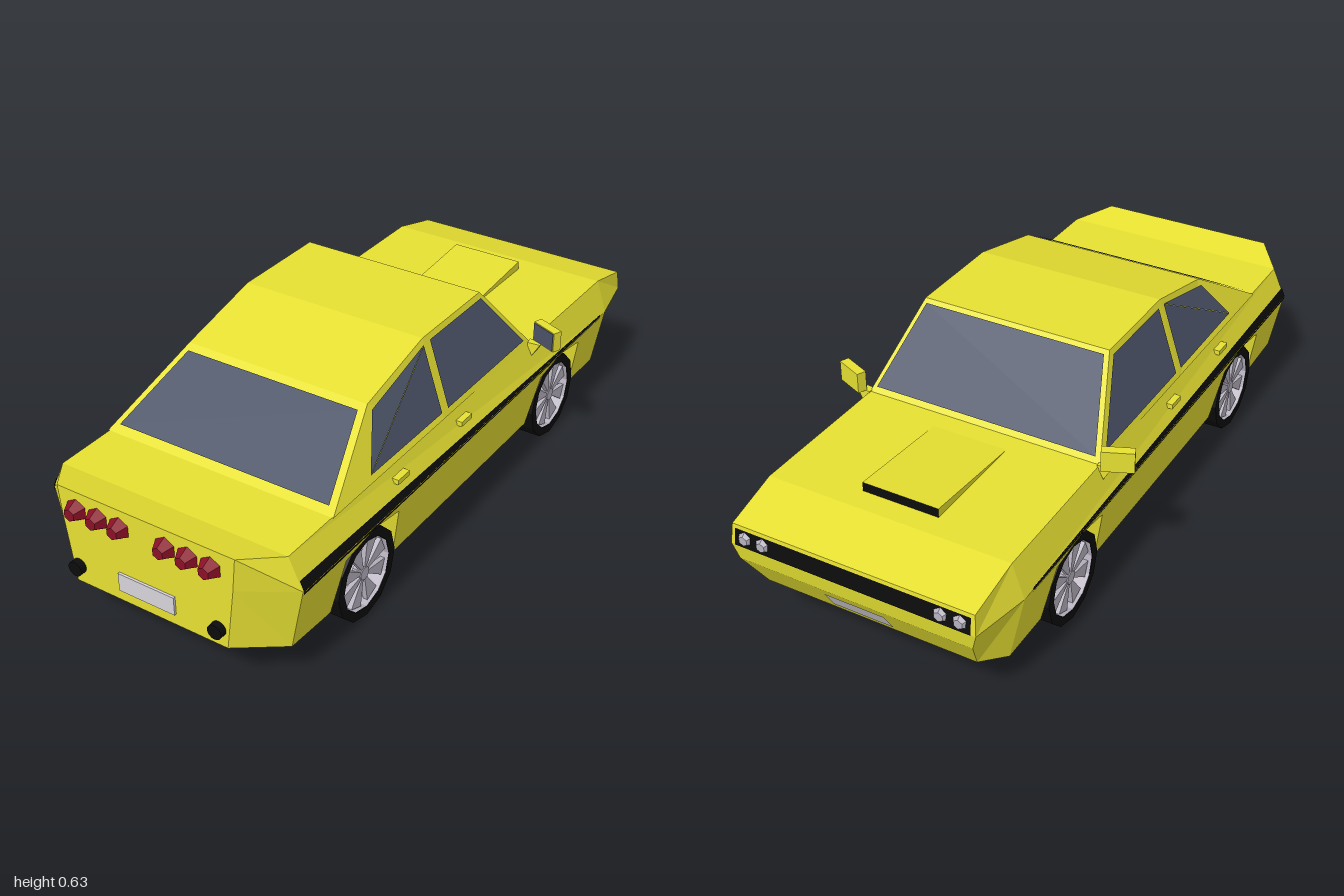
import * as THREE from 'three';

const mat = (color) => new THREE.MeshStandardMaterial({ color, flatShading: true, side: THREE.DoubleSide });
const PAINT = mat(0xe6e032), GLASS = mat(0x4c5468), BLACK = mat(0x0c0c0c);
const RED = mat(0x8c0f26), METAL = mat(0xb8b3c0), PLATE = mat(0xd8d4da);
const BOTTOM = 0.105, WHEELS_Z = [0.54, -0.52];

const V = (x, y, z) => new THREE.Vector3(x, y, z);
const flip = (p) => V(-p.x, p.y, p.z);

// Flat polygons, fanned from their first corner and turned away from the car's middle
// (or towards `inner`); `lift` floats them off the surface along their normal.
function panels(name, polys, material, { mirror = false, lift = 0, inner = null } = {}) {
  const pos = [];
  const all = mirror ? [...polys, ...polys.map((p) => p.map(flip))] : polys;
  for (const p of all) for (let i = 1; i < p.length - 1; i++) {
    let t = [p[0], p[i], p[i + 1]];
    const mid = V(0, 0, 0).add(t[0]).add(t[1]).add(t[2]).divideScalar(3);
    const n = V(0, 0, 0).crossVectors(t[1].clone().sub(t[0]), t[2].clone().sub(t[0])).normalize();
    const out = inner ? inner.clone().sub(mid) : mid.clone().sub(V(0, 0.25, mid.z * 0.8));
    if (n.dot(out) < 0) { t = [t[0], t[2], t[1]]; n.negate(); }
    for (const v of t) pos.push(...v.clone().addScaledVector(n, lift).toArray());
  }
  const g = new THREE.BufferGeometry();
  g.setAttribute('position', new THREE.Float32BufferAttribute(pos, 3));
  g.computeVertexNormals();
  return part(name, g, material);
}

function part(name, geometry, material, x = 0, y = 0, z = 0) {
  const m = new THREE.Mesh(geometry, material);
  m.name = name;
  m.position.set(x, y, z);
  return m;
}

// Triangulates a 2D outline and places every corner with `place`
function cutSheet(outline, place) {
  const pts = outline.map(([a, b]) => new THREE.Vector2(a, b));
  return THREE.ShapeUtils.triangulateShape(pts, []).map((f) => f.map((i) => place(pts[i].x, pts[i].y)));
}

const across = (a, b) => [a, b, flip(b), flip(a)];
const sillX = (y) => 0.36 + (y - BOTTOM) * 0.2;
const archOutline = (zc) => [[-0.15, BOTTOM], [-0.125, 0.27], [0, 0.295], [0.125, 0.27], [0.15, BOTTOM]].map(([dz, y]) => [zc + dz, y]);

function buildBody() {
  const g = new THREE.Group();
  g.name = 'body';
  const tail = [V(0.28, 0.425, 0.97), V(0.27, 0.325, 0.97), V(0.245, 0.135, 0.97)];
  const rear = [V(0.36, 0.4, 0.865), V(0.401, 0.31, 0.865), V(0.363, 0.12, 0.865)];
  const rearFloor = V(0.36, BOTTOM, 0.7);
  const fore = [V(0.365, 0.4, -0.82), V(0.399, 0.3, -0.82), V(0.36, BOTTOM, -0.83)];
  const nose = [V(0.36, 0.36, -0.985), V(0.365, 0.3, -0.993), V(0.35, 0.25, -0.985), V(0.32, 0.14, -0.92)];

  // Deck, nose and tail
  g.add(panels('deck', [across(tail[0], rear[0]), across(rear[0], fore[0]), across(fore[0], nose[0])], PAINT));
  g.add(panels('nose', [across(nose[0], nose[1]), across(nose[1], nose[2]), across(nose[2], nose[3]), across(nose[3], fore[2])], PAINT));
  g.add(panels('tail', [across(tail[0], tail[1]), across(tail[1], tail[2]), across(tail[2], rear[2]), across(rear[2], rearFloor)], PAINT));
  g.add(panels('upperSides', [
    [rear[0], rear[1], fore[1], fore[0]],
    [tail[0], tail[1], rear[1], rear[0]], [tail[1], tail[2], rear[2], rear[1]],
    [fore[0], fore[1], nose[1], nose[0]], [fore[1], fore[2], nose[3], nose[2], nose[1]],
  ], PAINT, { mirror: true }));

  // Lower sides and floor, notched for the wheel arches
  const [archR, archF] = WHEELS_Z.map(archOutline);
  const sill = [[-0.83, BOTTOM], ...archF, ...archR, [0.7, BOTTOM], [0.865, 0.12], [0.865, 0.31], [-0.82, 0.3]];
  g.add(panels('lowerSides', cutSheet(sill, (z, y) => V(sillX(y), y, z)), PAINT, { mirror: true }));
  const notch = (zc) => [[zc - 0.15, 0.36], [zc - 0.15, 0.24], [zc + 0.15, 0.24], [zc + 0.15, 0.36]];
  const floor = [[-0.83, 0], [-0.83, 0.36], ...notch(WHEELS_Z[1]), ...notch(WHEELS_Z[0]), [0.7, 0.36], [0.7, 0]];
  g.add(panels('floor', cutSheet(floor, (z, x) => V(x, BOTTOM, z)), PAINT, { mirror: true }));

  // Wheel wells
  for (const s of [1, -1]) for (const zc of WHEELS_Z) {
    const a = archOutline(zc);
    const outer = a.map(([z, y]) => V(s * sillX(y), y, z)), inside = a.map(([z, y]) => V(s * 0.24, y, z));
    const walls = [inside];
    for (let i = 0; i < 4; i++) walls.push([outer[i], outer[i + 1], inside[i + 1], inside[i]]);
    g.add(panels('wheelWell', walls, PAINT, { inner: V(s * 0.31, 0.14, zc) }));
  }

  // Side stripe and door handles
  g.add(panels('sideStripe', [
    [V(0.401, 0.31, 0.865), V(0.389, 0.338, 0.865), V(0.397, 0.306, -0.78), V(0.399, 0.3, -0.78)],
    [V(0.401, 0.31, 0.865), V(0.399, 0.3, 0.865), V(0.398, 0.297, -0.78), V(0.399, 0.3, -0.78)],
  ], BLACK, { mirror: true, lift: 0.003 }));
  for (const s of [1, -1]) for (const z of [0.39, 0.06])
    g.add(part('doorHandle', new THREE.BoxGeometry(0.02, 0.015, 0.055), PAINT, s * 0.382, 0.362, z));

  // Hood scoop with a dark mouth
  const sf = [V(0.115, 0.39, -0.755), V(0.115, 0.427, -0.755)], sb = V(0.115, 0.4, -0.42);
  g.add(panels('hoodScoop', [across(sf[1], sb), [sf[0], sf[1], sb], [flip(sf[0]), flip(sf[1]), flip(sb)]], PAINT));
  g.add(panels('scoopMouth', [across(...sf)], BLACK));

  // Grille, headlights and front plate
  const onNose = (x, y) => V(x, y, -0.985 - (0.36 - y) * 0.133);
  g.add(panels('grille', [across(onNose(0.35, 0.35), onNose(0.352, 0.3))], BLACK, { lift: 0.002 }));
  const lamp = (r0, r1, d, dir) => new THREE.CylinderGeometry(r0, r1, d, 6).rotateX(dir * Math.PI / 2);
  for (const s of [1, -1]) for (const x of [0.265, 0.32])
    g.add(part('headlight', lamp(0.014, 0.025, 0.016, -1), METAL, s * x, 0.325, -0.992));
  const onChin = (x, y) => V(x, y, -0.92 - (y - 0.14) * 0.59);
  g.add(panels('frontPlate', [across(onChin(0.09, 0.235), onChin(0.09, 0.175))], PLATE, { lift: 0.004 }));

  // Tail lights, exhausts and rear plate
  for (const s of [1, -1]) {
    for (const x of [0.073, 0.143, 0.213])
      g.add(part('tailLight', lamp(0.018, 0.034, 0.032, 1), RED, s * x - 0.007, 0.37, 0.984));
    g.add(part('exhaust', new THREE.CylinderGeometry(0.022, 0.022, 0.03, 16).rotateX(Math.PI / 2), BLACK, s * 0.226 - 0.006, 0.188, 0.975));
  }
  g.add(part('rearPlate', new THREE.BoxGeometry(0.18, 0.055, 0.01), PLATE, -0.005, 0.198, 0.972));
  return g;
}

function buildCabin() {
  const g = new THREE.Group();
  g.name = 'cabin';
  const base = (z) => V(0.365, 0.4, z), roof = (z, y) => V(0.29, y, z);
  const r0 = roof(0.41, 0.565), r1 = roof(0.14, 0.63), r2 = roof(-0.17, 0.63);
  g.add(panels('roof', [across(base(0.68), r0), across(r0, r1), across(r1, r2), across(r2, base(-0.36))], PAINT));
  g.add(panels('cabinSides', [
    [base(0.68), base(0.41), r0], [base(0.14), base(0.41), r0, r1],
    [base(0.14), r1, r2, base(-0.17)], [base(-0.17), r2, base(-0.36)],
  ], PAINT, { mirror: true }));

  // Front and rear glass, inset from the frame
  const pane = (top, bottom, t0, t1, inset) => across(...[t0, t1].map((t) => top.clone().lerp(bottom, t).sub(V(inset, 0, 0))));
  g.add(panels('windshield', [pane(r2, base(-0.36), 0.05, 0.94, 0.014)], GLASS, { lift: 0.004 }));
  g.add(panels('rearWindow', [pane(r0, base(0.68), 0.08, 0.92, 0.02)], GLASS, { lift: 0.004 }));

  // Side glass follows the lean of the cabin sides
  const roofY = (z) => 0.63 - 0.065 * THREE.MathUtils.clamp((z - 0.14) / 0.27, 0, 1);
  const onSide = ([z, y]) => V(0.365 - 0.075 * (y - 0.4) / (roofY(z) - 0.4), y, z);
  g.add(panels('sideWindows', [
    [[0.5, 0.42], [0.405, 0.548], [0.147, 0.613], [0.147, 0.42]].map(onSide),
    [[0.115, 0.42], [0.115, 0.615], [-0.163, 0.615], [-0.322, 0.42]].map(onSide),
  ], GLASS, { mirror: true, lift: 0.004 }));
  return g;
}

// Swept-back door mirror on a short arm
function buildDoorMirror(s) {
  const g = new THREE.Group();
  g.name = 'doorMirror';
  const head = new THREE.Group();
  head.add(part('mirrorHousing', new THREE.BoxGeometry(0.09, 0.062, 0.028), PAINT));
  head.add(part('mirrorGlass', new THREE.BoxGeometry(0.084, 0.056, 0.004), GLASS, 0, 0, 0.014));
  head.position.set(s * 0.418, 0.437, -0.362);
  head.rotation.y = -s * 0.4;
  g.add(head);
  const arm = [V(s * 0.36, 0.405, -0.37), V(s * 0.405, 0.408, -0.37), V(s * 0.38, 0.365, -0.37)];
  const back = arm.map((p) => p.clone().add(V(0, 0, 0.025)));
  const sides = [0, 1, 2].map((i) => [arm[i], arm[(i + 1) % 3], back[(i + 1) % 3], back[i]]);
  g.add(panels('mirrorArm', [arm, back, ...sides], PAINT));
  return g;
}

function buildWheel(s, z) {
  const g = new THREE.Group();
  g.name = 'wheel';
  const w = 0.054, R = 0.135, r = 0.108;
  const profile = [[r, -w], [R, -w], [R, w], [r, w], [r, -w]].map(([a, b]) => new THREE.Vector2(a, b));
  g.add(part('tire', new THREE.LatheGeometry(profile, 12).rotateZ(Math.PI / 2), BLACK));
  g.add(part('rim', new THREE.CylinderGeometry(r - 0.001, r - 0.001, 2 * w - 0.004, 12, 1, true).rotateZ(Math.PI / 2), METAL));
  g.add(part('hub', new THREE.CylinderGeometry(0.02, 0.02, 0.03, 8).rotateZ(Math.PI / 2), METAL, s * 0.032));
  // Wedge spokes widening towards the rim
  const spoke = new THREE.Shape([[0, 0], [0.1, -0.024], [0.1, 0.024]].map(([a, b]) => new THREE.Vector2(a, b)));
  for (let i = 0; i < 8; i++) {
    const geo = new THREE.ExtrudeGeometry(spoke, { depth: 0.014, bevelEnabled: false });
    geo.rotateZ((i + 0.5) * Math.PI / 4).rotateY(s * Math.PI / 2);
    g.add(part('spoke', geo, METAL, s * 0.03));
  }
  g.position.set(s * 0.321, R, z);
  return g;
}

export function createModel() {
  const car = new THREE.Group();
  car.name = 'car';
  car.add(buildBody(), buildCabin());
  for (const s of [1, -1]) {
    car.add(buildDoorMirror(s));
    for (const z of WHEELS_Z) car.add(buildWheel(s, z));
  }
  return car;
}
